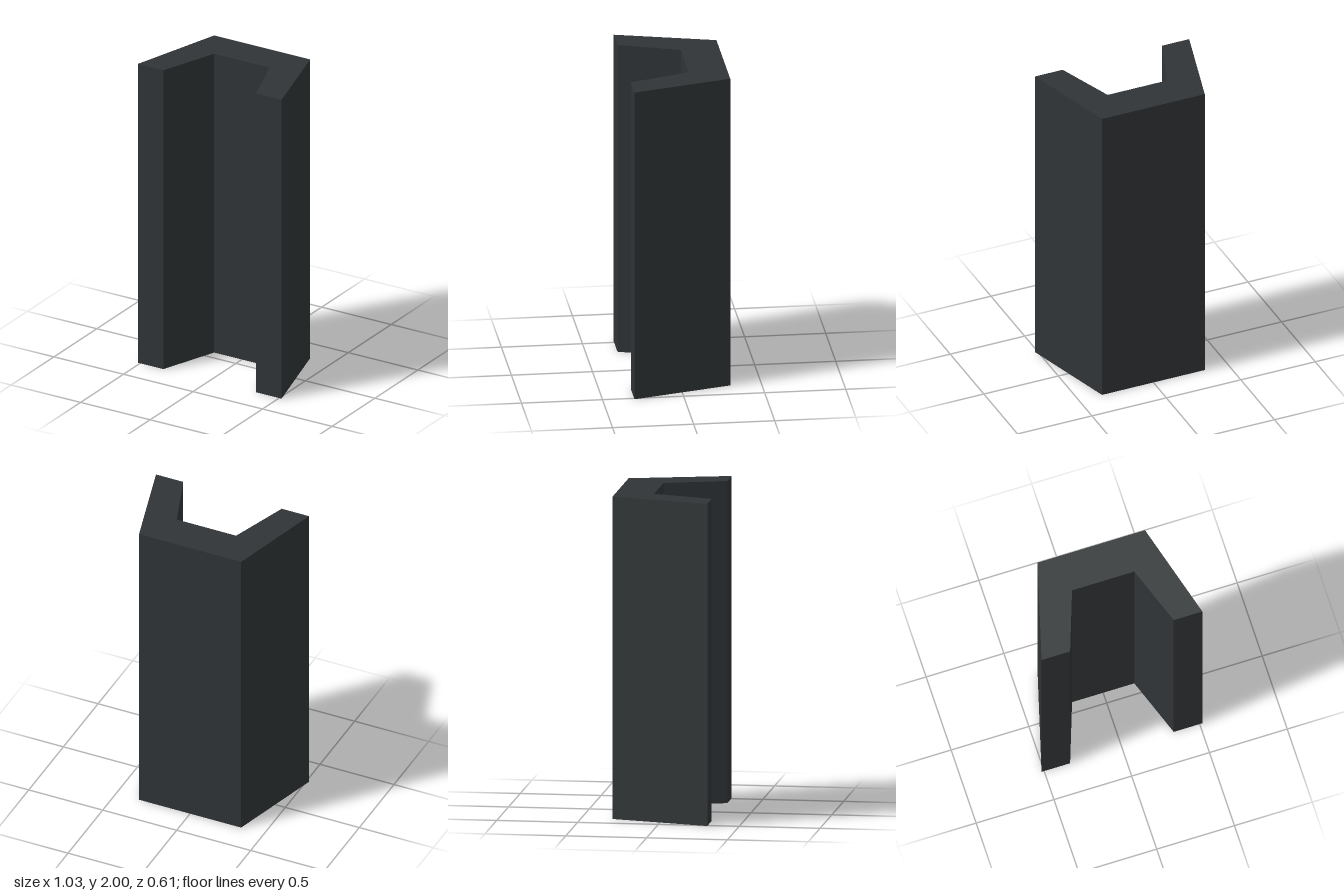
import * as THREE from 'three';

export function createModel() {
  const group = new THREE.Group();
  group.name = 'channelPost';

  // Right half of the channel section as [x, z]; the left half is mirrored
  const half = [[0.2, -0.07], [0.333, 0.305], [0.517, 0.305], [0.345, -0.307]];
  const outline = [...half, ...half.map(([x, z]) => [-x, z]).reverse()];
  const section = new THREE.Shape(outline.map(([x, z]) => new THREE.Vector2(x, -z)));

  // Section extruded upwards to full height
  const geometry = new THREE.ExtrudeGeometry(section, { depth: 2, bevelEnabled: false });
  geometry.rotateX(-Math.PI / 2);

  const material = new THREE.MeshStandardMaterial({ color: 0x303436, flatShading: true });
  const post = new THREE.Mesh(geometry, material);
  post.name = 'channelBody';
  group.add(post);
  return group;
}
